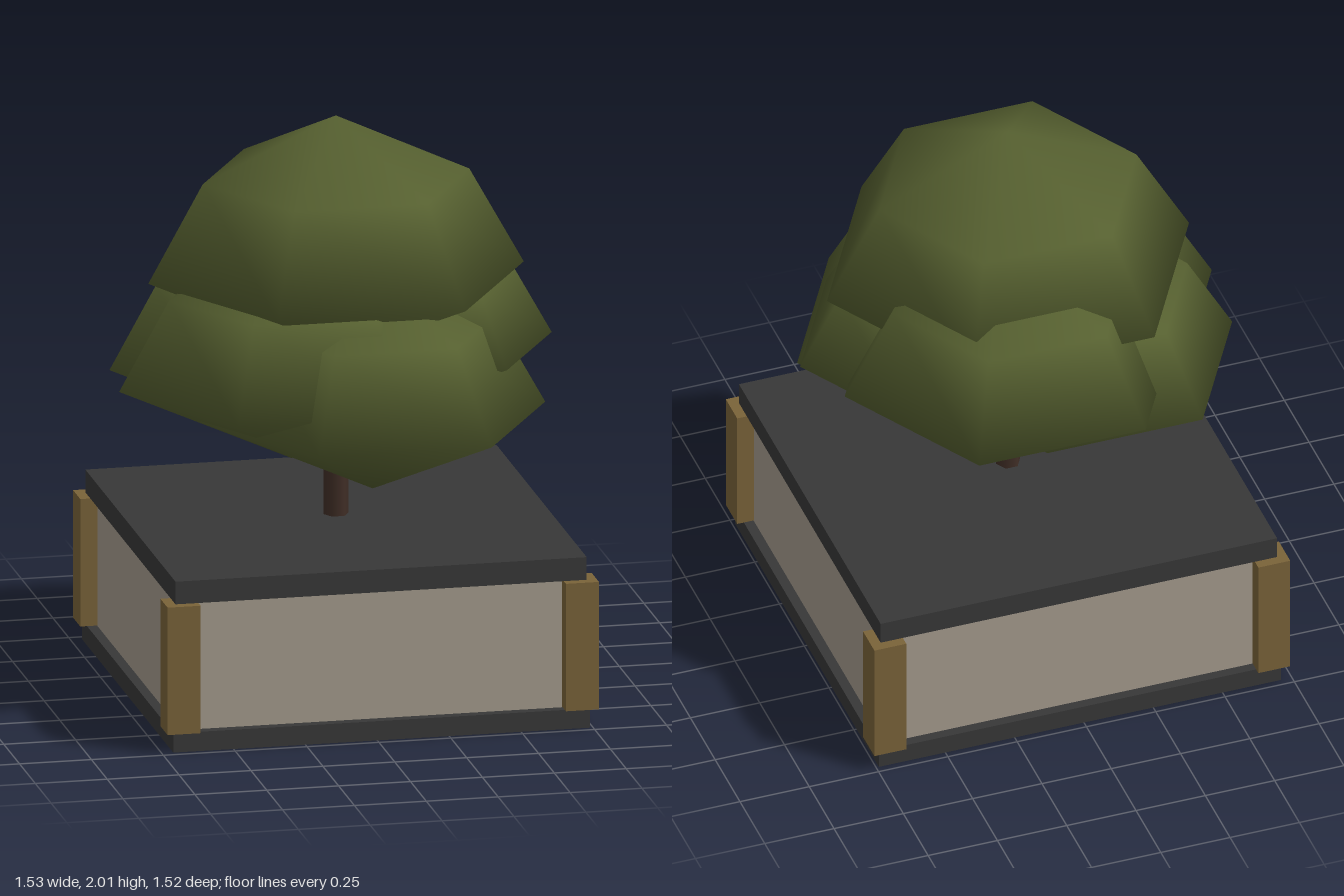
import * as THREE from 'three';
import { mergeVertices } from 'three/addons/utils/BufferGeometryUtils.js';

const CX = 0.015; // planter axis

const material = (color) => new THREE.MeshStandardMaterial({ color });

// Six-sided clump of unit rim radius: pointed underside, rim, shoulder, peak
function clumpGeometry() {
  const profile = [[0, -0.45], [1, 0], [0.71, 0.52], [0, 0.85]]
    .map(([r, y]) => new THREE.Vector2(r, y));
  const lathe = new THREE.LatheGeometry(profile, 6, Math.PI / 2);
  lathe.deleteAttribute('uv');
  lathe.deleteAttribute('normal');
  const geometry = mergeVertices(lathe, 1e-4);
  geometry.computeVertexNormals();
  return geometry;
}

export function createModel() {
  const model = new THREE.Group();
  const slabMat = material(0x383838);
  const wallMat = material(0xa49b8d);
  const postMat = material(0x7a6339);
  const barkMat = material(0x402e26);
  const leafMat = material(0x566030);

  const add = (name, geometry, mat, x, y, z, parent = model) => {
    const mesh = new THREE.Mesh(geometry, mat);
    mesh.name = name;
    mesh.position.set(x, y, z);
    parent.add(mesh);
    return mesh;
  };

  // Square block standing between two heights
  const block = (name, width, y0, y1, mat, x = CX, z = 0, parent = model) =>
    add(name, new THREE.BoxGeometry(width, y1 - y0, width), mat, x, (y0 + y1) / 2, z, parent);

  // Planter box
  const planter = new THREE.Group();
  planter.name = 'planter';
  model.add(planter);
  block('baseSlab', 1.45, 0, 0.068, slabMat, CX, 0, planter);
  block('planterWalls', 1.38, 0.068, 0.52, wallMat, CX, 0, planter);
  block('topSlab', 1.43, 0.52, 0.6, slabMat, CX, 0, planter);
  for (const sx of [-1, 1]) {
    for (const sz of [-1, 1]) {
      block('cornerPost', 0.115, 0.07, 0.52, postMat, CX + sx * 0.6925, sz * 0.6925, planter);
    }
  }

  // Trunk
  const trunk = add('trunk', new THREE.CylinderGeometry(0.043, 0.043, 0.7, 6), barkMat, CX, 0.93, 0);
  trunk.rotation.y = Math.PI / 6;

  // Foliage clumps: name, rim centre x, y, z, rim radius
  const foliage = new THREE.Group();
  foliage.name = 'foliage';
  model.add(foliage);
  const leaf = clumpGeometry();
  const clumps = [
    ['topClump', 0.015, 1.45, 0, 0.653],
    ['frontClump', 0.09, 1.02, 0.24, 0.6],
    ['backClump', 0.09, 1.22, -0.24, 0.6],
    ['frontRightClump', -0.17, 1.115, 0.14, 0.6],
    ['backRightClump', -0.18, 1.11, -0.15, 0.56],
    ['leftClump', 0.265, 1.195, 0, 0.5],
  ];
  for (const [name, x, y, z, radius] of clumps) {
    add(name, leaf, leafMat, x, y, z, foliage).scale.setScalar(radius);
  }

  trunk.rotation.y = Math.PI / 2;
  return model;
}
